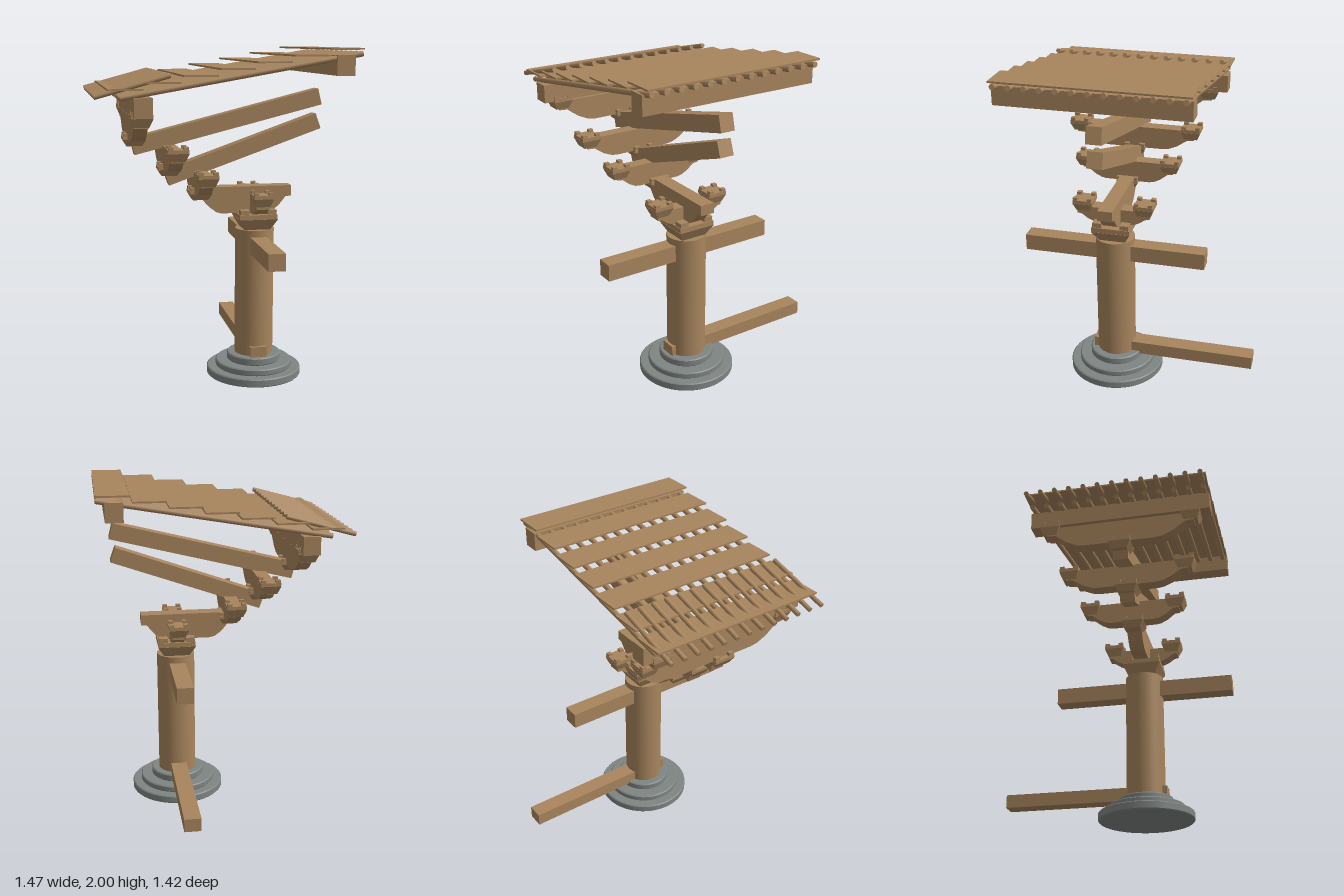
import * as THREE from 'three';

export function createModel() {
  const root = new THREE.Group();
  root.name = 'bracketSet';
  const wood = new THREE.MeshStandardMaterial({ color: 0xa8855d });
  wood.name = 'timber';
  const stone = new THREE.MeshStandardMaterial({ color: 0x7f8583 });
  stone.name = 'stone';
  const CX = 0.255, CZ = 0.155; // column axis

  const add = (name, geo, x, y, z, mat = wood, parent = root) => {
    const m = new THREE.Mesh(geo, mat);
    m.name = name;
    m.position.set(x, y, z);
    parent.add(m);
    return m;
  };
  // box given by its limits
  const box = (name, x0, x1, y0, y1, z0, z1, parent = root) =>
    add(name, new THREE.BoxGeometry(x1 - x0, y1 - y0, z1 - z0),
      (x0 + x1) / 2, (y0 + y1) / 2, (z0 + z1) / 2, wood, parent);

  // Bearing block: flared body, short square rim and four corner lugs
  function block(name, x, y0, z, y1, lugTop, bottom, top) {
    const g = new THREE.Group();
    g.name = name;
    g.position.set(x, 0, z);
    const h = y1 - y0, rim = h * 0.3;
    const geo = new THREE.CylinderGeometry(top * Math.SQRT2, bottom * Math.SQRT2, h - rim, 4)
      .rotateY(Math.PI / 4).toNonIndexed();
    geo.computeVertexNormals();
    add('flare', geo, 0, y0 + (h - rim) / 2, 0, wood, g);
    const r = top * 0.98;
    box('rim', -r, r, y1 - rim, y1, -r, r, g);
    const s = top * 0.46, c = top * 0.94 - s / 2;
    for (const sx of [-1, 1]) for (const sz of [-1, 1])
      add('lug', new THREE.BoxGeometry(s, lugTop - y1 + 0.005, s),
        sx * c, (lugTop + y1 - 0.005) / 2, sz * c, wood, g);
    root.add(g);
  }

  // Bracket arm profile: flat top, underside curving up to blunt ends
  function armGeometry(L, top, bottom, end, width) {
    const half = [[L, top], [L, end], [L * 0.88, end - 0.004],
      [L * 0.72, end - (end - bottom) * 0.62], [L * 0.58, end - (end - bottom) * 0.92], [L * 0.48, bottom]];
    const pts = [...half, ...half.map(([x, y]) => [-x, y]).reverse()];
    const shape = new THREE.Shape(pts.map(p => new THREE.Vector2(...p)));
    return new THREE.ExtrudeGeometry(shape, { depth: width, bevelEnabled: false })
      .translate(0, 0, -width / 2);
  }

  // Stepped stone base
  for (const [r, y0, y1] of [[0.29, 0, 0.05], [0.235, 0.05, 0.09], [0.165, 0.09, 0.137]]) {
    const b = 0.006;
    const profile = [[0, y0], [r - b, y0], [r - b, y0], [r, y0 + b], [r, y0 + b],
      [r, y1 - b], [r, y1 - b], [r - b, y1], [r - b, y1], [0, y1]];
    add('baseStep', new THREE.LatheGeometry(profile.map(p => new THREE.Vector2(...p)), 48), CX, 0, CZ, stone);
  }

  // Column and tie beams
  add('column', new THREE.CylinderGeometry(0.118, 0.118, 0.785, 40), CX, 0.5275, CZ);
  box('upperTieBeam', 0.205, 0.305, 0.78, 0.88, -0.4, 0.71);
  box('lowerTieBeam', 0.205, 0.305, 0.12, 0.2, -0.71, 0.29);

  // Capital block and the arm reaching forward from it
  block('capitalBlock', CX, 0.92, CZ, 1.015, 1.043, 0.08, 0.117);
  add('projectingArm', armGeometry(0.29, 1.18, 1.02, 1.117, 0.09), 0.18, 0, CZ);

  // Cross arms: x, half length, top, bottom, end block offset, end block lug top
  const tiers = [
    [CX, 0.22, 1.112, 1.02, 0.185, 1.168],
    [-0.085, 0.285, 1.28, 1.15, 0.265, 1.307],
    [-0.27, 0.375, 1.435, 1.3, 0.355, 1.465],
    [-0.475, 0.445, 1.625, 1.48, 0.425, 1.665],
  ];
  tiers.forEach(([x, L, top, bottom, offset, lug], i) => {
    const end = lug - 0.092;
    add('crossArm', armGeometry(L, top, bottom, Math.min(end, top - 0.045), 0.08).rotateY(Math.PI / 2), x, 0, CZ);
    for (const s of [-1, 1])
      block('endBlock', x, lug - 0.085, CZ + s * offset, lug - 0.016, lug, 0.04, 0.06);
    if (i > 0) block('centreBlock', x, bottom - 0.045, CZ, bottom + 0.01, bottom + 0.03, 0.045, 0.068);
  });

  // Slanting lever arms, cut square at both ends
  function lever(name, x0, y0, x1, y1, t) {
    const m = add(name, new THREE.BoxGeometry(Math.hypot(x1 - x0, y1 - y0), t, 0.09),
      (x0 + x1) / 2, (y0 + y1) / 2, CZ);
    m.rotation.z = Math.atan2(y1 - y0, x1 - x0);
  }
  lever('lowerLever', -0.287, 1.242, 0.63, 1.565, 0.094);
  lever('upperLever', -0.485, 1.43, 0.638, 1.71, 0.098);

  // Purlins
  box('frontPurlin', -0.525, -0.425, 1.635, 1.742, -0.388, 0.698);
  box('rearPurlin', 0.578, 0.68, 1.85, 1.96, -0.388, 0.698);

  // Rafters: long round ones with short eave rafters above
  function rafter(name, x0, y0, x1, y1, r, z) {
    const geo = new THREE.CylinderGeometry(r, r, Math.hypot(x1 - x0, y1 - y0), 12).rotateZ(-Math.PI / 2);
    add(name, geo, (x0 + x1) / 2, (y0 + y1) / 2, z).rotation.z = Math.atan2(y1 - y0, x1 - x0);
  }
  for (let i = 0; i < 13; i++) {
    const z = CZ + (i - 6) * 0.086;
    rafter('mainRafter', -0.597, 1.74, 0.728, 1.968, 0.016, z);
    rafter('eaveRafter', -0.732, 1.747, -0.328, 1.857, 0.014, z);
  }

  // Level roof boards stepping up the slope
  for (let i = 0; i < 7; i++) {
    const x = -0.567 + i * 0.2005, y = 1.785 + i * 0.0348;
    box('roofBoard', x - 0.094, x + 0.094, y - 0.005, y + 0.005, -0.392, 0.696);
  }
  return root;
}
